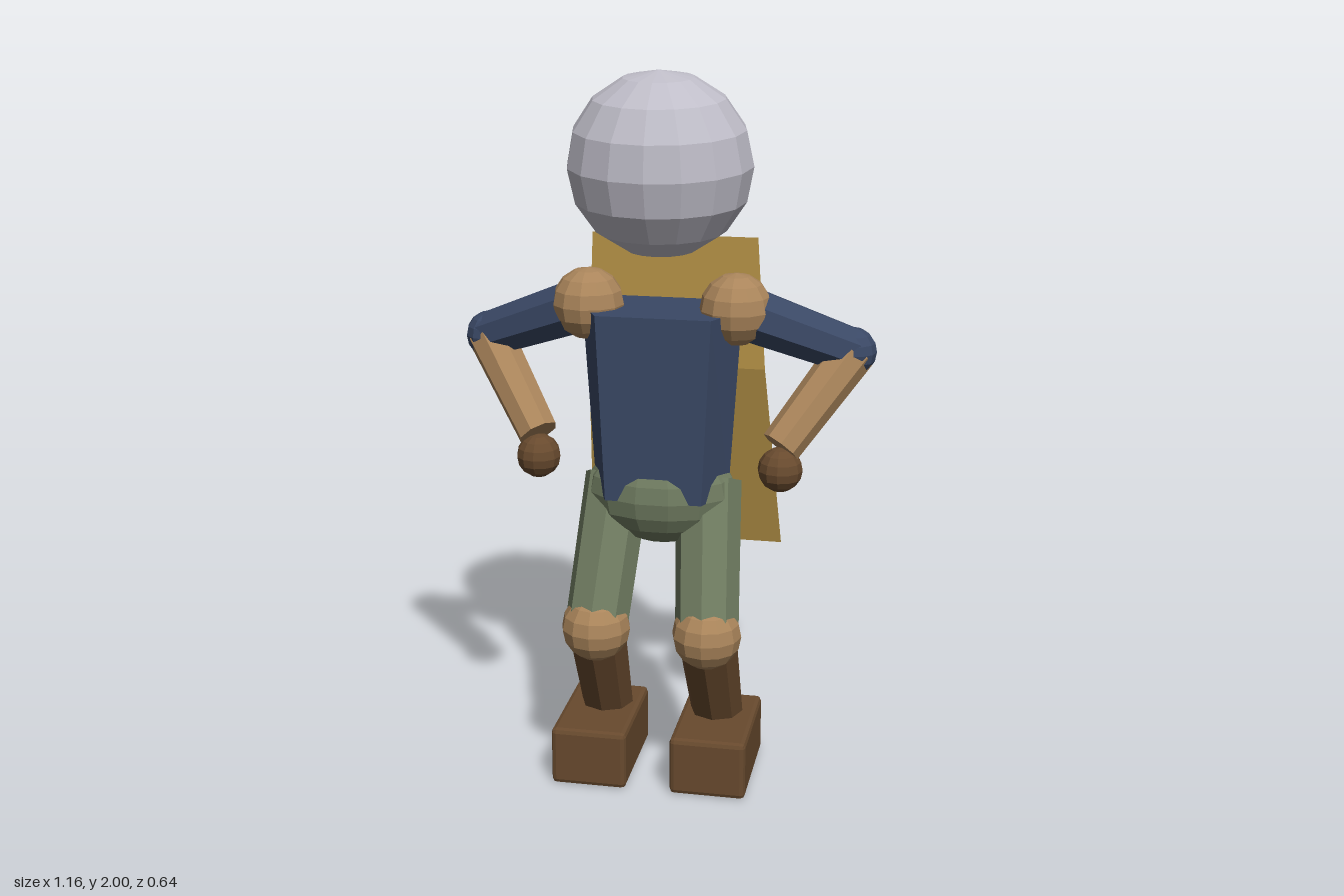
import * as THREE from 'three';
import { RoundedBoxGeometry } from 'three/addons/geometries/RoundedBoxGeometry.js';

function material(name, color, extra = {}) {
  const m = new THREE.MeshStandardMaterial({ color, flatShading: true, ...extra });
  m.name = name;
  return m;
}

export function createModel() {
  const model = new THREE.Group();
  model.name = 'figure';

  const paleGrey = material('pale grey', 0xbfbdc8);
  const tan = material('tan', 0xaa855b);
  const navy = material('navy', 0x3a4865);
  const green = material('green', 0x6f7b60);
  const brown = material('brown', 0x684a2e);
  const gold = material('gold', 0xbd994a, { side: THREE.DoubleSide });

  function add(name, geometry, mat, position = [0, 0, 0]) {
    const mesh = new THREE.Mesh(geometry, mat);
    mesh.name = name;
    mesh.position.set(...position);
    model.add(mesh);
    return mesh;
  }

  function ball(name, mat, position, radius, wide = 12, high = 8) {
    return add(name, new THREE.SphereGeometry(radius, wide, high), mat, position);
  }

  // Tapered limb between two joints
  function limb(name, mat, from, to, rFrom, rTo) {
    const a = new THREE.Vector3(...from), b = new THREE.Vector3(...to);
    const dir = a.clone().sub(b);
    const mesh = add(name, new THREE.CylinderGeometry(rFrom, rTo, dir.length(), 8), mat);
    mesh.position.copy(a).add(b).multiplyScalar(0.5);
    mesh.quaternion.setFromUnitVectors(new THREE.Vector3(0, 1, 0), dir.normalize());
    return mesh;
  }

  // Head, nodding slightly forward
  const head = ball('head', paleGrey, [0, 1.75, 0.085], 0.25, 16, 8);
  head.scale.set(1.01, 1, 0.91);
  head.rotation.x = 0.08;

  // Torso: six-sided prism that narrows towards the waist
  const outline = new THREE.Shape([
    [0.158, 0.13], [0.222, 0], [0.158, -0.13],
    [-0.158, -0.13], [-0.222, 0], [-0.158, 0.13],
  ].map(([x, y]) => new THREE.Vector2(x, y)));
  const torso = new THREE.ExtrudeGeometry(outline, { depth: 0.52, bevelEnabled: false });
  torso.rotateX(-Math.PI / 2);
  const p = torso.attributes.position;
  for (let i = 0; i < p.count; i++) {
    p.setX(i, p.getX(i) * (0.85 + 0.15 * p.getY(i) / 0.52));
  }
  torso.computeVertexNormals();
  add('torso', torso, navy, [0, 0.835, 0.065]);

  // Pelvis
  ball('pelvis', green, [0, 0.835, 0.067], 0.15, 14, 10).scale.x = 1.4;

  // Arms and legs, mirrored
  for (const [side, s] of [['left', 1], ['right', -1]]) {
    const shoulder = [0.205 * s, 1.36, 0.065];
    const elbow = [0.515 * s, 1.235, -0.025];
    const wrist = [0.34 * s, 0.995, 0.12];
    ball(side + 'Shoulder', tan, shoulder, 0.1);
    limb(side + 'UpperArm', navy, shoulder, elbow, 0.08, 0.067);
    ball(side + 'Elbow', navy, elbow, 0.067);
    limb(side + 'Forearm', tan, elbow, wrist, 0.066, 0.057);
    ball(side + 'Hand', brown, [0.34 * s, 0.93, 0.12], 0.062);

    const hip = [0.13 * s, 0.86, 0.045];
    const knee = [0.157 * s, 0.47, 0.222];
    const ankle = [0.163 * s, 0.1, 0.028];
    limb(side + 'Thigh', green, hip, knee, 0.093, 0.089);
    ball(side + 'Knee', tan, knee, 0.097);
    limb(side + 'Shin', brown, knee, ankle, 0.084, 0.073).scale.z = 0.93;
    add(side + 'Foot', new RoundedBoxGeometry(0.215, 0.17, 0.336, 1, 0.014), brown,
      [0.17 * s, 0.088, 0.12]);
  }

  // Cape: thin sheet with one fold, as rows of [half width, height, depth]
  const rows = [[0.236, 1.52, -0.127], [0.257, 1.135, -0.152], [0.291, 0.55, -0.325]];
  const cape = new THREE.PlaneGeometry(2, 1, 1, 2);
  rows.forEach(([w, y, z], r) => {
    cape.attributes.position.setXYZ(r * 2, -w, y, z);
    cape.attributes.position.setXYZ(r * 2 + 1, w, y, z);
  });
  cape.computeVertexNormals();
  add('cape', cape, gold);

  return model;
}
